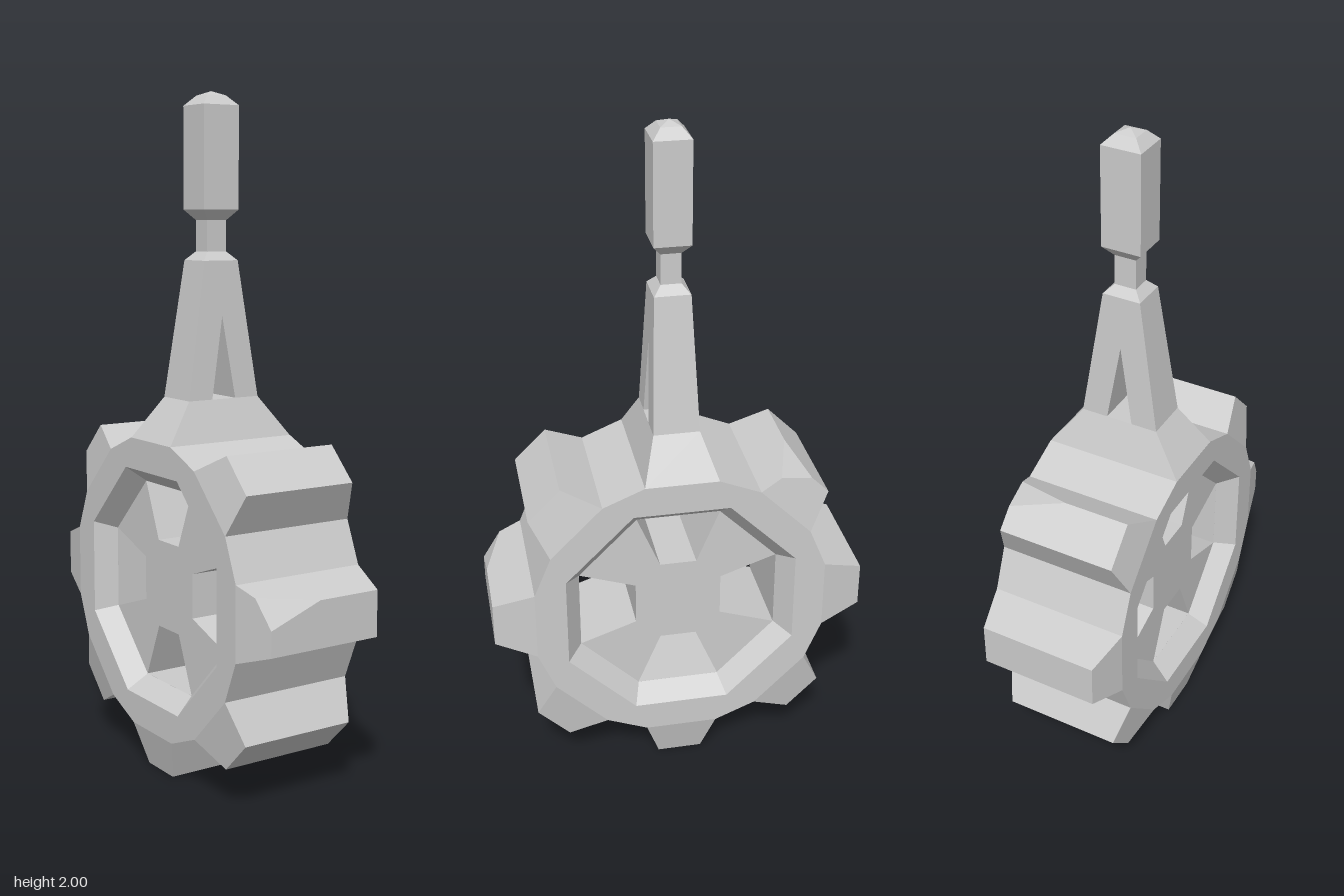
import * as THREE from 'three';
import { ConvexGeometry } from 'three/addons/geometries/ConvexGeometry.js';

const material = new THREE.MeshStandardMaterial({ color: 0xcccccc, flatShading: true });
const CENTER = 0.562;   // axle height
const HALF = 0.21;      // half width of the wheel
const WEB = 0.15;       // half width of the spoked web
const RIM = 0.452, TIP = 0.565;
const rad = THREE.MathUtils.degToRad;

function addMesh(parent, name, geometry) {
  const mesh = new THREE.Mesh(geometry, material);
  mesh.name = name;
  parent.add(mesh);
  return mesh;
}

// Points on a circle at the given angles in degrees
const ring = (angles, r) =>
  angles.map(a => new THREE.Vector2(Math.cos(rad(a)) * r, Math.sin(rad(a)) * r));

// Sixteen-sided rim outline: a wide gap under each tooth, a narrow one between
function rimShape() {
  const angles = [];
  for (let i = 0; i < 8; i++) angles.push(i * 45 - 14, i * 45 + 14);
  return new THREE.Shape(ring(angles, RIM));
}

// Solid web pierced by four flared windows
function webGeometry() {
  const shape = rimShape();
  for (let i = 0; i < 4; i++) {
    const vertical = i % 2 === 1;
    const inner = vertical ? 0.132 : 0.13, w = vertical ? 0.055 : 0.066;
    const pts = [[inner, -w], [0.3, -0.125], [0.3, 0.125], [inner, w]].map(
      ([x, y]) => new THREE.Vector2(x, y).rotateAround(new THREE.Vector2(), i * Math.PI / 2));
    shape.holes.push(new THREE.Path(pts));
  }
  return new THREE.ExtrudeGeometry(shape, { depth: WEB * 2, bevelEnabled: false })
    .translate(0, 0, -WEB);
}

// Side rim whose octagonal opening narrows towards the web
function sideRimGeometry() {
  const shape = rimShape();
  const octagon = Array.from({ length: 8 }, (_, i) => 22.5 + i * 45);
  shape.holes.push(new THREE.Path(ring(octagon, 0.374)));
  const geometry = new THREE.ExtrudeGeometry(shape, { depth: HALF - WEB, bevelEnabled: false });
  const p = geometry.attributes.position;
  for (let i = 0; i < p.count; i++) {
    const r = Math.hypot(p.getX(i), p.getY(i));
    if (r < 0.4 && p.getZ(i) < 0.01) {
      const s = 0.325 / r;
      p.setXY(i, p.getX(i) * s, p.getY(i) * s);
    }
  }
  geometry.computeVertexNormals();
  return geometry.translate(0, 0, WEB);
}

// Tapered tooth; chip = [x side, angular side] cuts off one tip corner
function toothGeometry(angle, chip) {
  const point = (x, edge, tip) => {
    const a = rad(angle + edge * (tip ? 6.85 : 14));
    const r = tip ? TIP : RIM;
    return new THREE.Vector3(x * (tip ? 0.18 : HALF), CENTER + Math.sin(a) * r, Math.cos(a) * r);
  };
  const points = [];
  for (const x of [-1, 1]) for (const edge of [-1, 1]) {
    points.push(point(x, edge, false));
    const corner = point(x, edge, true);
    if (chip && chip[0] === x && chip[1] === edge) {
      for (const next of [point(-x, edge, true), point(x, -edge, true), point(x, edge, false)])
        points.push(corner.clone().lerp(next, 0.45));
    } else points.push(corner);
  }
  return new ConvexGeometry(points);
}

// Four-sided block tapering from [half x, half z] at y0 to another size at y1
function frustum(y0, [x0, z0], y1, [x1, z1]) {
  const geometry = new THREE.BoxGeometry(2, 1, 2).toNonIndexed();
  const p = geometry.attributes.position;
  for (let i = 0; i < p.count; i++) {
    const top = p.getY(i) > 0;
    p.setXYZ(i, p.getX(i) * (top ? x1 : x0), top ? y1 : y0, p.getZ(i) * (top ? z1 : z0));
  }
  geometry.computeVertexNormals();
  return geometry;
}

// Forked stem, thinner towards its top
function forkGeometry() {
  const outline = [[0.12, 1.12], [0.058, 1.52], [-0.058, 1.52], [-0.12, 1.12],
    [-0.04, 1.12], [0, 1.36], [0.04, 1.12]];
  const shape = new THREE.Shape(outline.map(([x, y]) => new THREE.Vector2(x, y)));
  const geometry = new THREE.ExtrudeGeometry(shape, { depth: 2, bevelEnabled: false })
    .translate(0, 0, -1);
  const p = geometry.attributes.position;
  for (let i = 0; i < p.count; i++)
    p.setZ(i, p.getZ(i) * THREE.MathUtils.mapLinear(p.getY(i), 1.12, 1.52, 0.068, 0.053));
  geometry.computeVertexNormals();
  return geometry;
}

export function createModel() {
  const model = new THREE.Group();
  model.name = 'gearPendant';

  // Wheel body, turned so the axle lies along x
  const wheel = new THREE.Group();
  wheel.name = 'wheel';
  wheel.position.y = CENTER;
  wheel.rotation.y = Math.PI / 2;
  model.add(wheel);
  addMesh(wheel, 'spokedWeb', webGeometry());
  const rim = sideRimGeometry();
  addMesh(wheel, 'leftRim', rim);
  addMesh(wheel, 'rightRim', rim).rotation.y = Math.PI;

  // Seven teeth; the place at the top belongs to the handle
  const chips = { 0: [-1, 1], 135: [1, -1] };
  const teeth = new THREE.Group();
  teeth.name = 'teeth';
  model.add(teeth);
  for (let a = 0; a < 360; a += 45)
    if (a !== 90) addMesh(teeth, 'tooth', toothGeometry(a, chips[a]));

  // Handle, from the wheel upwards
  const handle = new THREE.Group();
  handle.name = 'handle';
  model.add(handle);
  addMesh(handle, 'handleBase', frustum(1.0, [HALF, 0.109], 1.12, [0.12, 0.068]));
  addMesh(handle, 'fork', forkGeometry());
  const sections = [
    ['shoulder', 1.52, 0.058, 1.545, 0.033],
    ['neck', 1.545, 0.033, 1.635, 0.033],
    ['gripCollar', 1.635, 0.033, 1.665, 0.06],
    ['grip', 1.665, 0.06, 1.96, 0.06],
    ['gripCrown', 1.96, 0.06, 1.988, 0.032],
    ['gripTip', 1.988, 0.032, 2.0, 0.001],
  ];
  for (const [name, y0, s0, y1, s1] of sections)
    addMesh(handle, name, frustum(y0, [s0, s0 * 0.9], y1, [s1, s1 * 0.9]));

  return model;
}
